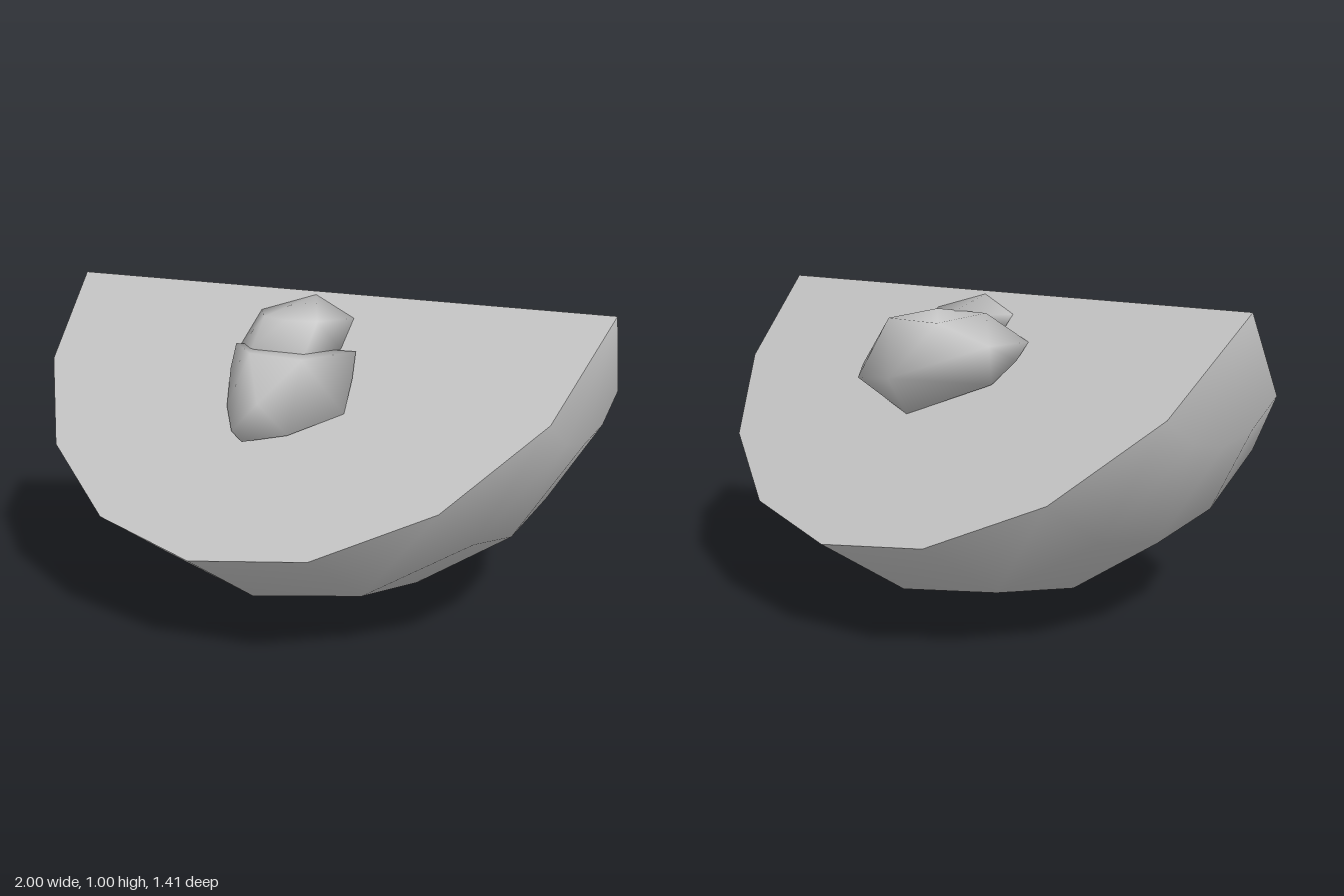
import * as THREE from 'three';
import { mergeVertices } from 'three/addons/utils/BufferGeometryUtils.js';
import { ConvexGeometry } from 'three/addons/geometries/ConvexGeometry.js';

const material = new THREE.MeshStandardMaterial({ color: 0xcccccc });

function addMesh(parent, name, geometry) {
  const mesh = new THREE.Mesh(geometry, material);
  mesh.name = name;
  parent.add(mesh);
  return mesh;
}

// Smooth-shaded convex lump through a few corner points
function lump(points) {
  const geometry = new ConvexGeometry(points.map((p) => new THREE.Vector3(...p)));
  geometry.deleteAttribute('normal');
  geometry.deleteAttribute('uv');
  const smooth = mergeVertices(geometry, 1e-4);
  smooth.computeVertexNormals();
  return smooth;
}

export function createModel() {
  const model = new THREE.Group();
  model.name = 'wedge';

  // Rind: a quarter of a low-poly sphere with its poles on the x axis
  const rind = new THREE.SphereGeometry(1, 4, 8, -Math.PI / 4, Math.PI / 2);
  rind.rotateZ(Math.PI / 2).translate(0, 1, 0);
  addMesh(model, 'rind', rind);

  // Two flat half-disc cut faces meeting at the top ridge
  for (const [name, turn] of [['frontCutFace', 0], ['backCutFace', Math.PI]]) {
    const face = new THREE.CircleGeometry(1, 8, Math.PI, Math.PI);
    face.rotateX(-Math.PI / 4).rotateY(turn).translate(0, 1, 0);
    addMesh(model, name, face);
  }

  // Small lump just below the ridge on the front face
  addMesh(model, 'upperFrontLump', lump([
    [0, 0.99, 0.01], [0.18, 0.935, 0.06], [-0.18, 0.935, 0.06],
    [0.1, 0.93, 0.16], [-0.1, 0.93, 0.16], [0, 0.93, 0.19],
    [0.18, 0.85, 0.15], [-0.19, 0.82, 0.18], [0.1, 0.84, 0.23],
    [-0.1, 0.84, 0.23], [0, 0.78, 0.25], [0, 0.75, 0.05],
  ]));

  // Wider, lopsided lump beneath it
  addMesh(model, 'lowerFrontLump', lump([
    [-0.19, 0.84, 0.19], [-0.17, 0.77, 0.25], [-0.12, 0.67, 0.34],
    [-0.06, 0.61, 0.4], [0, 0.59, 0.43], [0.14, 0.62, 0.39],
    [0.23, 0.68, 0.33], [0.29, 0.69, 0.31], [0.27, 0.78, 0.23],
    [0.24, 0.85, 0.16], [0.12, 0.83, 0.28], [-0.08, 0.83, 0.27],
    [0.02, 0.7, 0.375], [0, 0.6, 0.2],
  ]));

  // Large lump on the back face
  addMesh(model, 'backLump', lump([
    [-0.3, 0.87, -0.13], [-0.315, 0.82, -0.2], [-0.29, 0.87, -0.29],
    [-0.27, 0.75, -0.26], [-0.12, 0.93, -0.34], [0.1, 0.93, -0.34],
    [0, 0.76, -0.435], [0, 0.64, -0.36], [0.28, 0.72, -0.32],
    [0.3, 0.76, -0.28], [0.27, 0.82, -0.2], [0.23, 0.88, -0.12],
    [0.1, 0.945, -0.13], [-0.12, 0.945, -0.13], [0, 0.7, -0.1],
  ]));

  // Crest joining the back lump to the ridge
  addMesh(model, 'backCrest', lump([
    [0, 0.99, -0.01], [0.17, 0.94, -0.06], [-0.17, 0.94, -0.06],
    [0.17, 0.9, -0.11], [-0.18, 0.9, -0.11], [0, 0.95, -0.13],
    [0, 0.93, -0.19], [0, 0.8, -0.05],
  ]));

  return model;
}
